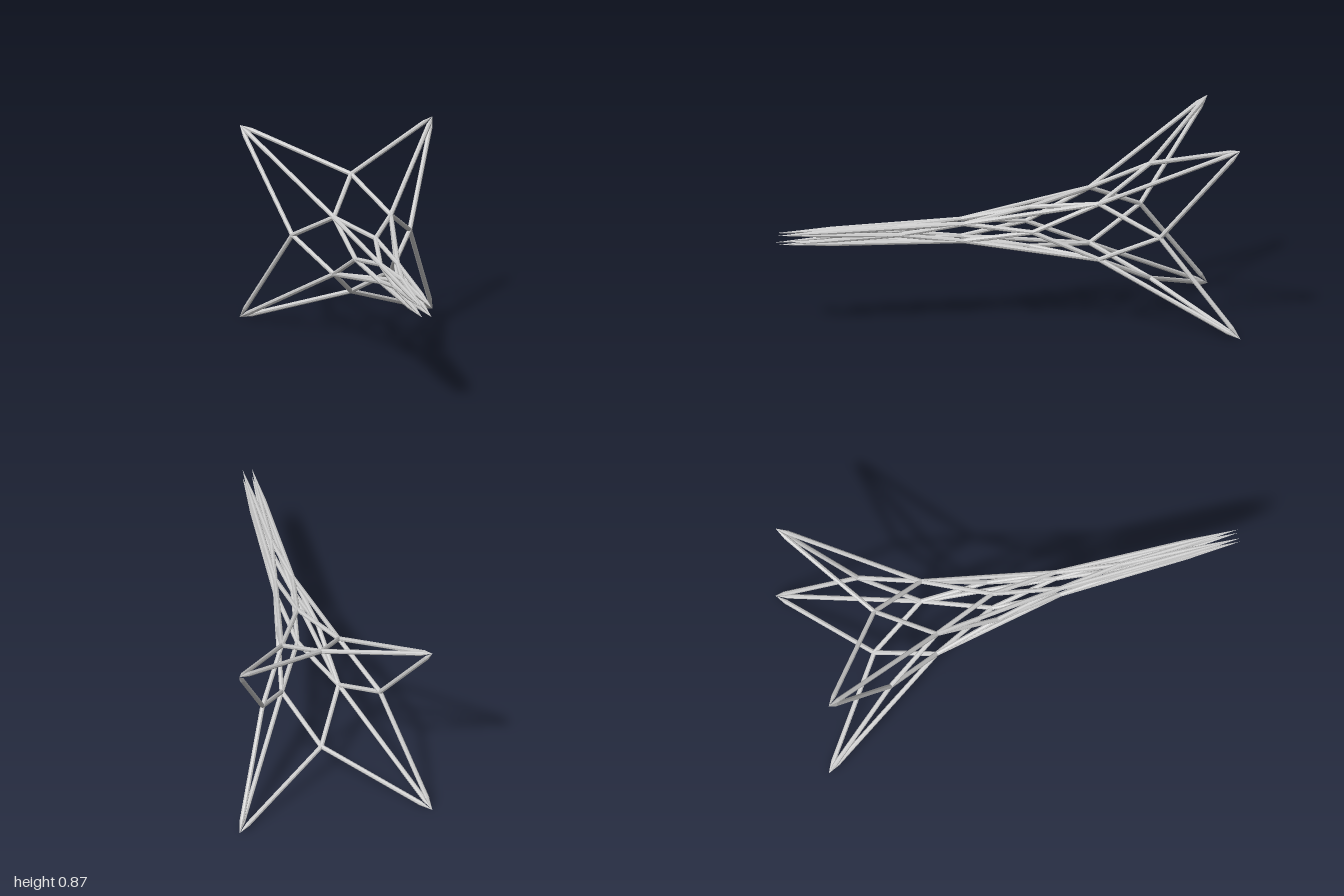
import * as THREE from 'three';

const CENTRE_Y = 0.433;
const BAR = 0.0105;
const SIDES = 8;

// Rings of four nodes: corners lie on the diagonals, mids on the axes
const CORNERS = [[0.433, -1], [0.128, -0.42], [0.039, 0.17], [0.021, 1]];
const MIDS = [[0.264, -0.67], [0.09, -0.13], [0.031, 0.46]];

export function createModel() {
  const group = new THREE.Group();
  group.name = 'starLattice';
  const steel = new THREE.MeshStandardMaterial({ color: 0xcccccc, flatShading: true });
  steel.name = 'light grey steel';

  const corner = (ring, k) => {
    const [r, z] = CORNERS[ring];
    const a = Math.PI / 4 + (k * Math.PI) / 2;
    return new THREE.Vector3(Math.SQRT2 * r * Math.cos(a), CENTRE_Y + Math.SQRT2 * r * Math.sin(a), z);
  };
  const mid = (ring, k) => {
    const [r, z] = MIDS[ring];
    const a = (k * Math.PI) / 2;
    return new THREE.Vector3(r * Math.cos(a), CENTRE_Y + r * Math.sin(a), z);
  };

  // A straight bar, narrowed to a point over the given length at either end
  function bar(name, a, b, pointA = 0, pointB = 0) {
    const length = a.distanceTo(b);
    const profile = [
      new THREE.Vector2(0, 0),
      new THREE.Vector2(BAR, pointA),
      new THREE.Vector2(BAR, length - pointB),
      new THREE.Vector2(0, length),
    ];
    const mesh = new THREE.Mesh(new THREE.LatheGeometry(profile, SIDES), steel);
    mesh.name = name;
    mesh.position.copy(a);
    mesh.quaternion.setFromUnitVectors(new THREE.Vector3(0, 1, 0), b.clone().sub(a).normalize());
    group.add(mesh);
  }

  function joint(p) {
    const mesh = new THREE.Mesh(new THREE.IcosahedronGeometry(BAR * 1.03, 1), steel);
    mesh.name = 'joint';
    mesh.position.copy(p);
    group.add(mesh);
  }

  const last = CORNERS.length - 1;
  for (let k = 0; k < 4; k++) {
    for (let i = 0; i < last; i++) {
      const startPoint = i === 0 ? 0.06 : 0;
      const endPoint = i + 1 === last ? 0.25 : 0;
      // Long rib along the diagonal
      bar('rib', corner(i, k), corner(i + 1, k), startPoint, endPoint);
      // Braces from each corner to the two neighbouring mids, and on to the next ring
      for (const m of [k, k + 1]) {
        bar('brace', corner(i, k), mid(i, m), startPoint, 0);
        bar('brace', mid(i, m), corner(i + 1, k), 0, endPoint);
      }
      joint(mid(i, k));
      if (i > 0) joint(corner(i, k));
    }
  }
  return group;
}
